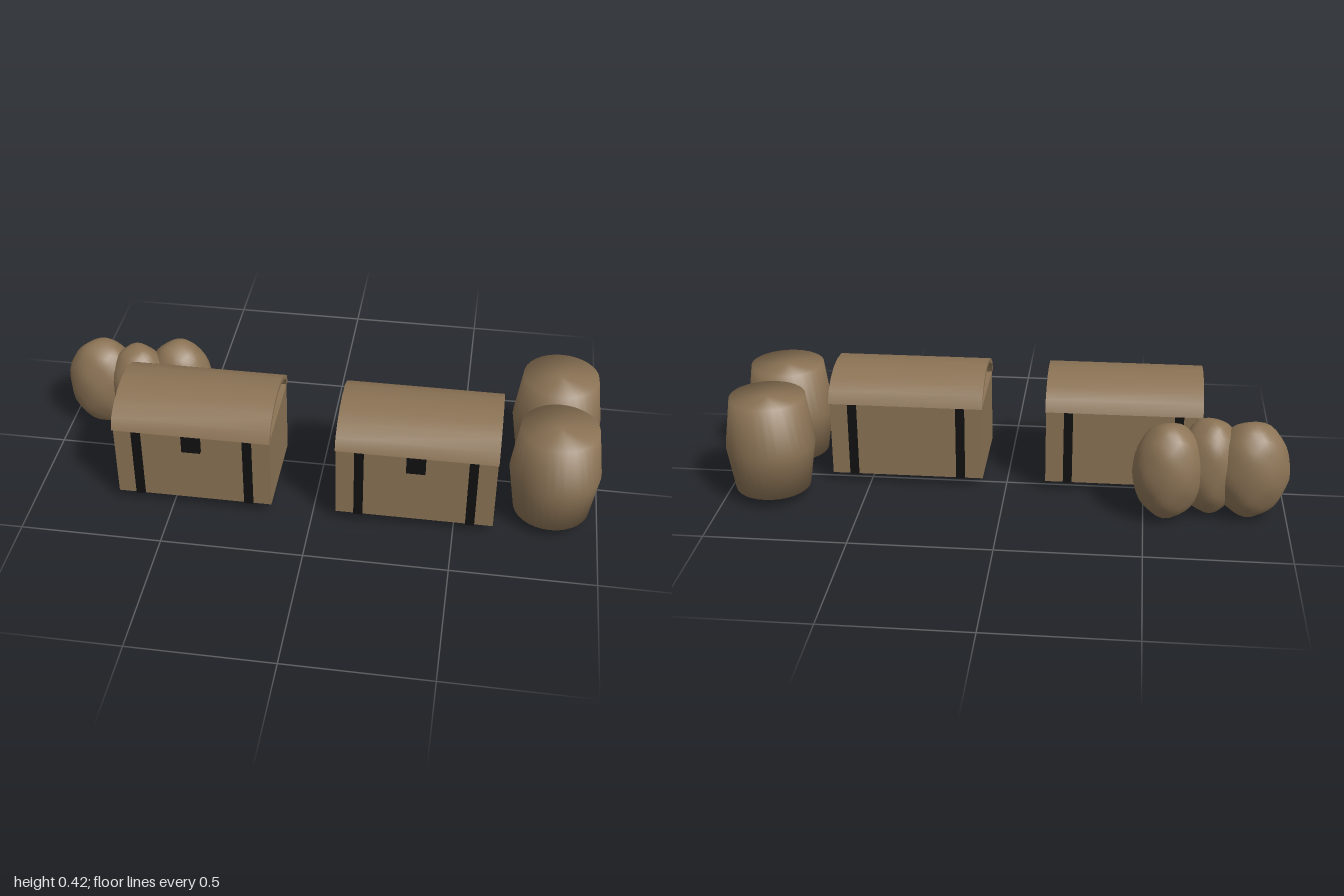
import * as THREE from 'three';
import { mergeVertices, toCreasedNormals } from 'three/addons/utils/BufferGeometryUtils.js';

const brown = new THREE.MeshStandardMaterial({ color: 0x8b7355 });
brown.name = 'brown wood and cloth';
const black = new THREE.MeshStandardMaterial({ color: 0x111111 });
black.name = 'black iron';

function part(name, geometry, material, x = 0, y = 0, z = 0) {
  const mesh = new THREE.Mesh(geometry, material);
  mesh.name = name;
  mesh.position.set(x, y, z);
  return mesh;
}

// box given by its size and centre
const box = (name, material, w, h, d, x, y, z) =>
  part(name, new THREE.BoxGeometry(w, h, d), material, x, y, z);

// Arched lid: a thin shell, open at both ends
function lidGeometry(width) {
  const half = [[0.188, 0], [0.17, 0.042], [0.127, 0.072], [0.07, 0.094]];
  const inner = [[0.17, 0], [0.156, 0.034], [0.12, 0.058], [0.066, 0.079]];
  const arc = (side, top) => [
    ...side, [0, top], ...side.map(([z, y]) => [-z, y]).reverse(),
  ];
  const outline = [...arc(half, 0.101), ...arc(inner, 0.086).reverse()];
  const shape = new THREE.Shape(outline.map(([z, y]) => new THREE.Vector2(z, y)));
  const geo = new THREE.ExtrudeGeometry(shape, { depth: width, bevelEnabled: false });
  geo.translate(0, 0, -width / 2).rotateY(-Math.PI / 2);
  return toCreasedNormals(geo, 0.75);
}

function chest(name, x) {
  const g = new THREE.Group();
  g.name = name;
  g.position.set(x, 0, 0.123);
  g.add(box('chestBody', brown, 0.553, 0.28, 0.345, 0, 0.177, 0));
  g.add(part('chestLid', lidGeometry(0.557), brown, 0, 0.318, 0));
  for (const s of [-1, 1]) {
    g.add(box('ironBand', black, 0.032, 0.286, 0.362, s * 0.196, 0.182, 0));
  }
  g.add(box('latch', black, 0.066, 0.065, 0.02, 0, 0.283, 0.178));
  return g;
}

// Barrel bulging at mid height, closed at both ends
function barrel(z) {
  const profile = [[0, 0], [0.134, 0], [0.159, 0.165], [0.134, 0.345], [0, 0.345]];
  const geo = new THREE.LatheGeometry(profile.map(([r, y]) => new THREE.Vector2(r, y)), 32);
  return part('barrel', geo, brown, 0.835, 0.037, z);
}

// Lumpy sack: a stretched sphere with small dents
function sack(x, z, rx, rz, seed) {
  let geo = new THREE.IcosahedronGeometry(1, 6);
  geo.deleteAttribute('normal');
  geo.deleteAttribute('uv');
  geo = mergeVertices(geo);
  const p = geo.attributes.position;
  const v = new THREE.Vector3();
  for (let i = 0; i < p.count; i++) {
    v.fromBufferAttribute(p, i);
    const lump = Math.sin(v.x * 6 + seed) * Math.sin(v.y * 7 + seed * 2) * Math.sin(v.z * 6 + seed * 3);
    v.multiplyScalar(1 + 0.025 * lump);
    p.setXYZ(i, v.x * rx, v.y * 0.177, v.z * rz);
  }
  geo.computeVertexNormals();
  return part('sack', geo, brown, x, 0.178, z);
}

export function createModel() {
  const model = new THREE.Group();
  model.name = 'chestsBarrelsAndSacks';
  model.add(chest('rightChest', -0.421), chest('leftChest', 0.361));
  model.add(barrel(0.153), barrel(-0.155));
  model.add(
    sack(-0.867, -0.167, 0.133, 0.11, 1),
    sack(-0.725, -0.15, 0.115, 0.111, 2.3),
    sack(-0.581, -0.203, 0.124, 0.111, 4.1),
  );
  return model;
}
